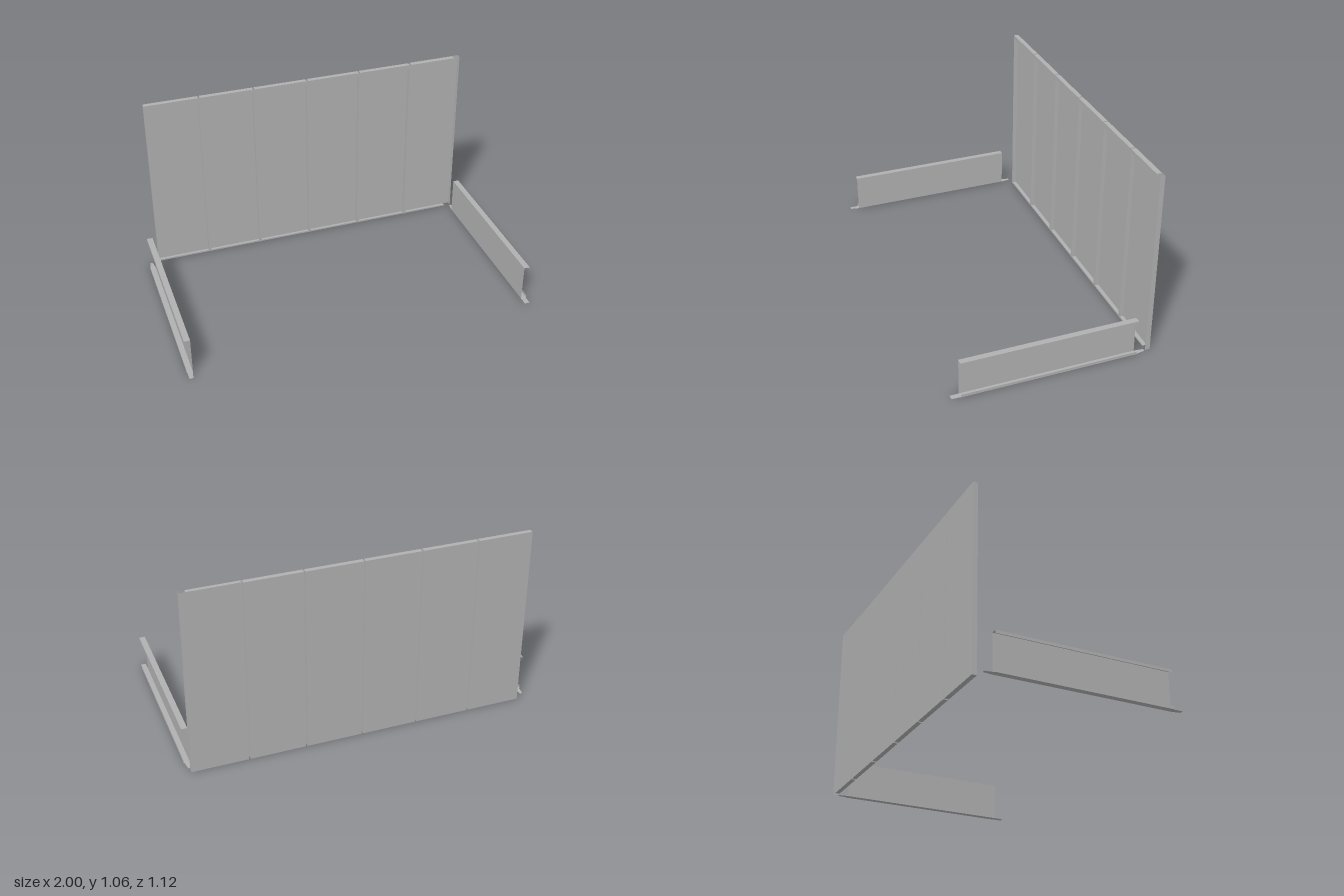
import * as THREE from 'three';

const steel = new THREE.MeshStandardMaterial({ color: 0xb0b0b0, side: THREE.DoubleSide });
steel.name = 'galvanised grey';

// Folded sheet: an open profile of [a, b] points swept from s to e.
// place(a, b, t) turns profile point and sweep position into [x, y, z].
function foldedSheet(name, profile, s, e, place) {
  const pos = [];
  for (let i = 0; i < profile.length - 1; i++) {
    const [a, b] = profile[i], [c, d] = profile[i + 1];
    const p = place(a, b, s), q = place(c, d, s), r = place(c, d, e), u = place(a, b, e);
    pos.push(...p, ...q, ...r, ...p, ...r, ...u);
  }
  const geo = new THREE.BufferGeometry();
  geo.setAttribute('position', new THREE.Float32BufferAttribute(pos, 3));
  geo.computeVertexNormals();
  const mesh = new THREE.Mesh(geo, steel);
  mesh.name = name;
  return mesh;
}

const upright = (x, z, y) => [x, y, z];   // profile in plan, swept up
const across = (z, y, x) => [x, y, z];    // profile in side view, swept along x
const along = (x, y, z) => [x, y, z];     // profile in front view, swept along z

const BACK = -0.565, FRONT = -0.538, TOP = 1.055;

// One wall pan: back sheet, side flanges, and lipped top and bottom flanges
function wallPanel(xL, xR, last) {
  const g = new THREE.Group();
  g.name = last ? 'endWallPanel' : 'wallPanel';
  const plan = [[xL + 0.004, FRONT], [xL, FRONT], [xL, BACK], [xR, BACK], [xR, FRONT],
    [xR + (last ? -0.004 : 0.009), FRONT]];
  g.add(foldedSheet('pan', plan, 0, last ? 1.058 : TOP, upright));
  const end = last ? 0.945 : xR;
  g.add(foldedSheet('topFlange', [[BACK, TOP], [FRONT, TOP], [FRONT, TOP - 0.026]], xL, end, across));
  g.add(foldedSheet('bottomFlange', [[BACK, 0.001], [FRONT, 0.001], [FRONT, 0.01]], xL, end, across));
  return g;
}

// Flat tapered tongue lying at the end of a rail's bottom flange
function tongue(side, zRoot, zTip, inner, outer) {
  const shape = new THREE.Shape([
    new THREE.Vector2(side * 0.967, -zRoot), new THREE.Vector2(side * 0.997, -zRoot),
    new THREE.Vector2(side * outer, -zTip), new THREE.Vector2(side * inner, -zTip),
  ]);
  const geo = new THREE.ShapeGeometry(shape).rotateX(-Math.PI / 2);
  const mesh = new THREE.Mesh(geo, steel);
  mesh.name = 'endTongue';
  mesh.position.y = 0.002;
  return mesh;
}

// Side rail: lipped channel opening outwards
function sideRail(side) {
  const g = new THREE.Group();
  g.name = side > 0 ? 'leftRail' : 'rightRail';
  const section = [[1, 0.202], [1, 0.218], [0.967, 0.218], [0.967, 0.002], [1, 0.002], [1, 0.018]]
    .map(([x, y]) => [side * x, y]);
  g.add(foldedSheet('channel', section, -0.477, 0.508, along));
  g.add(tongue(side, -0.477, -0.53, 0.973, 0.988));
  g.add(tongue(side, 0.508, 0.557, side > 0 ? 0.967 : 0.976, 0.996));
  return g;
}

export function createModel() {
  const model = new THREE.Group();
  model.name = 'panelWallWithRails';

  const wall = new THREE.Group();
  wall.name = 'backWall';
  const pitch = 0.32, start = -0.932;
  for (let i = 0; i < 6; i++) {
    const x = start + i * pitch;
    wall.add(wallPanel(x, i === 5 ? 0.981 : x + pitch - 0.009, i === 5));
  }
  model.add(wall);

  for (const side of [-1, 1]) model.add(sideRail(side));
  return model;
}
